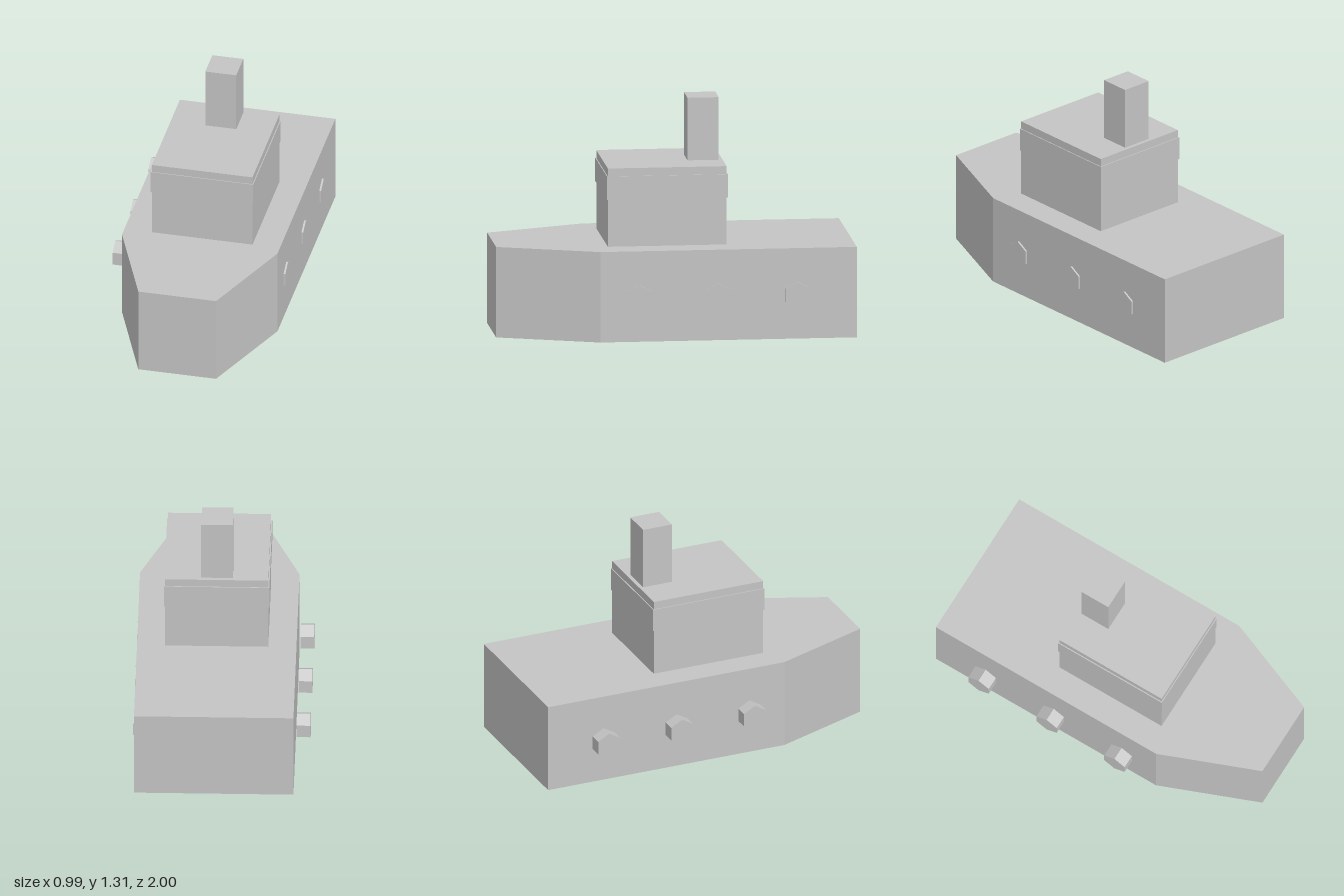
import * as THREE from 'three';

export function createModel() {
  const model = new THREE.Group();
  model.name = 'boat';

  const grey = new THREE.MeshStandardMaterial({ color: 0xc4c4c4 });
  grey.name = 'plain grey';

  const add = (name, geometry) => {
    const mesh = new THREE.Mesh(geometry, grey);
    mesh.name = name;
    model.add(mesh);
    return mesh;
  };

  // Box given by its lower and upper bounds on each axis
  const box = (name, [x0, x1], [y0, y1], [z0, z1]) =>
    add(name, new THREE.BoxGeometry(x1 - x0, y1 - y0, z1 - z0))
      .position.set((x0 + x1) / 2, (y0 + y1) / 2, (z0 + z1) / 2);

  // Hull: plan outline as x, -z, extruded upwards, with a blunt tapered bow
  const deck = 0.513;
  const plan = new THREE.Shape([
    [-0.407, 1], [-0.407, -0.44], [-0.185, -1],
    [0.26, -1], [0.483, -0.44], [0.483, 1],
  ].map(([x, y]) => new THREE.Vector2(x, y)));
  add('hull', new THREE.ExtrudeGeometry(plan, { depth: deck, bevelEnabled: false })
    .rotateX(-Math.PI / 2));

  // Cabin with a slightly raised window band, and the funnel on its roof
  box('cabin', [-0.25, 0.326], [deck, 0.957], [-0.287, 0.38]);
  box('windowBand', [-0.256, 0.331], [0.78, 0.912], [-0.293, 0.385]);
  box('funnel', [-0.052, 0.125], [0.957, 1.312], [-0.265, -0.09]);

  // Three hexagonal portholes on each side, point up
  const porthole = new THREE.CylinderGeometry(0.077, 0.077, 0.077, 6)
    .toNonIndexed()
    .rotateY(Math.PI / 6)
    .rotateZ(Math.PI / 2);
  porthole.computeVertexNormals();
  for (const [side, x] of [['right', -0.457], ['left', 0.455]]) {
    for (const z of [0.222, -0.222, -0.667]) {
      add(`${side}Porthole`, porthole).position.set(x, 0.247, z);
    }
  }

  return model;
}
